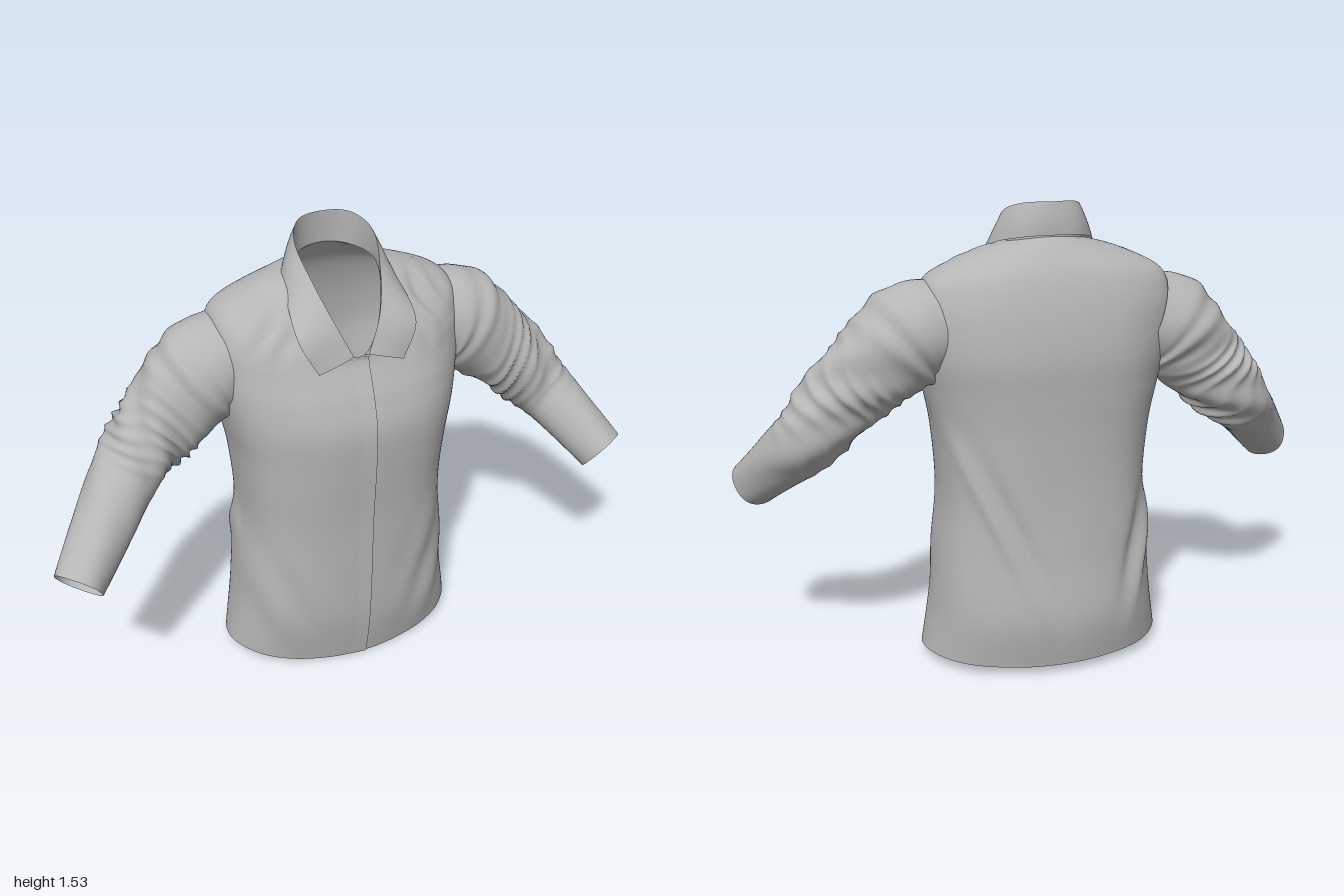
import * as THREE from 'three';

const cloth = new THREE.MeshStandardMaterial({ color: 0xb5b5b5, side: THREE.DoubleSide });
cloth.name = 'grey cloth';

// Smooth surface from fn(u, v) -> Vector3; closed joins the last column to the first,
// and quads starting at a point where hole(x, y) is true are left out
function surface(name, fn, nu, nv, closed, hole = () => false) {
  const cols = closed ? nu : nu + 1, pos = [], idx = [];
  for (let j = 0; j <= nv; j++)
    for (let i = 0; i < cols; i++) pos.push(...fn(i / nu, j / nv).toArray());
  for (let j = 0; j < nv; j++)
    for (let i = 0; i < nu; i++) {
      const a = j * cols + i, b = j * cols + (i + 1) % cols;
      if (!hole(pos[a * 3], pos[a * 3 + 1])) idx.push(a, b, b + cols, a, b + cols, a + cols);
    }
  const g = new THREE.BufferGeometry();
  g.setAttribute('position', new THREE.Float32BufferAttribute(pos, 3));
  g.setIndex(idx);
  g.computeVertexNormals();
  const mesh = new THREE.Mesh(g, cloth);
  mesh.name = name;
  return mesh;
}

// Catmull-Rom interpolation through rows of numbers
function sample(rows, t) {
  const f = t * (rows.length - 1), i = Math.min(Math.floor(f), rows.length - 2), w = f - i;
  const row = k => rows[Math.max(0, Math.min(rows.length - 1, k))];
  return rows[0].map((_, c) => {
    const [p, q, r, s] = [row(i - 1)[c], row(i)[c], row(i + 1)[c], row(i + 2)[c]];
    return q + 0.5 * w * (r - p + w * (2 * p - 5 * q + 4 * r - s + w * (3 * (q - r) + s - p)));
  });
}

const bump = (d, width) => Math.exp(-((d / width) ** 2));
const spow = (x, e) => Math.sign(x) * Math.abs(x) ** e;

// Torso rings: half width, front z, back z, side z, side y, front y, back y, squareness
const rings = [
  [0.410, 0.22, -0.267, 0.00, 0.042, 0.00, 0.03, 2.1],
  [0.385, 0.25, -0.285, 0.00, 0.20, 0.18, 0.19, 2.3],
  [0.365, 0.26, -0.263, 0.00, 0.40, 0.39, 0.40, 2.4],
  [0.350, 0.265, -0.248, 0.00, 0.60, 0.60, 0.60, 2.5],
  [0.360, 0.28, -0.247, 0.00, 0.80, 0.80, 0.80, 2.5],
  [0.390, 0.283, -0.252, -0.01, 0.94, 0.94, 0.94, 2.4],
  [0.410, 0.258, -0.256, -0.025, 1.05, 1.04, 1.05, 2.4],
  [0.418, 0.228, -0.246, -0.035, 1.15, 1.11, 1.15, 2.4],
  [0.412, 0.212, -0.225, -0.04, 1.235, 1.145, 1.24, 2.4],
  [0.380, 0.206, -0.195, -0.04, 1.31, 1.165, 1.32, 2.2],
  [0.250, 0.206, -0.155, -0.02, 1.373, 1.172, 1.38, 2.0],
  [0.130, 0.206, -0.115, 0.00, 1.405, 1.178, 1.425, 2.0],
];

function torsoPoint(u, v) {
  const [a, zf, zb, zc, ys, yf, yb, n] = sample(rings, v);
  const th = u * Math.PI * 2, s = Math.sin(th), c = Math.cos(th);
  const x = a * spow(s, 2 / n), depth = c > 0 ? zf - zc : zc - zb;
  const y = ys + ((c > 0 ? yf : yb) - ys) * c * c;
  const ax = Math.abs(x);
  let d = 0;
  if (c < 0) {
    // Long diagonal fold on the left of the back, short one on the right
    const line = x > 0 ? ax + 0.03 - 0.45 * y : ax - 0.22 - 0.25 * y;
    const span = x > 0 ? bump(y - 0.5, 0.26) : bump(y - 0.4, 0.16);
    d += 0.015 * span * (bump(line, 0.022) - bump(line + 0.05, 0.03));
  } else {
    // Pulls at the waist and puckers below the shoulder
    d += 0.006 * bump(y - 0.3, 0.2) * bump(ax - 0.26, 0.1) * Math.sin(40 * ax - 16 * y);
    d += 0.012 * bump(y - 1.28, 0.08) * bump(ax - 0.25, 0.07) * Math.sin(75 * ax + 22 * y + 2 * Math.sin(25 * y));
  }
  d += 0.003 * Math.sin(9 * y + 5 * th) * Math.sin(7 * y - 3 * th) * Math.min(1, 5 * ax);
  const shift = 0.01 * (1 - v);
  return new THREE.Vector3(x + d * s + shift, y, zc + depth * spow(c, 2 / n) + d * c);
}

// Sleeve stations: distance out, y, z, then radius up/down and radius front/back
const leftRows = [
  [0.345, 1.150, -0.035, 0.150, 0.140],
  [0.440, 1.122, -0.033, 0.166, 0.154],
  [0.555, 1.03, -0.025, 0.149, 0.132],
  [0.66, 0.935, -0.018, 0.129, 0.121],
  [0.77, 0.81, 0.00, 0.110, 0.110],
  [0.85, 0.715, 0.085, 0.096, 0.097],
  [0.931, 0.607, 0.20, 0.081, 0.083],
];
const rightRows = [
  [0.345, 1.142, -0.035, 0.150, 0.140],
  [0.435, 1.10, -0.033, 0.166, 0.152],
  [0.535, 0.995, -0.028, 0.148, 0.130],
  [0.62, 0.91, -0.025, 0.128, 0.121],
  [0.71, 0.82, 0.012, 0.112, 0.112],
  [0.815, 0.715, 0.115, 0.096, 0.097],
  [0.933, 0.592, 0.228, 0.081, 0.081],
];

function sleeve(name, rows, side) {
  const seed = side > 0 ? 0 : 1.7;
  const centre = t => new THREE.Vector3(...sample(rows, t));
  return surface(name, (u, v) => {
    const a = (side > 0 ? u : 1 - u) * Math.PI * 2;
    const [, , , rv, rz] = sample(rows, v);
    const t = centre(Math.min(1, v + 0.06)).sub(centre(Math.max(0, v - 0.06))).normalize();
    const front = new THREE.Vector3(0, 0, 1).addScaledVector(t, -t.z).normalize();
    const up = new THREE.Vector3().crossVectors(front, t).normalize();
    // Slanting, broken creases around the elbow and a pucker at the armhole
    const wave = 46 * v + 2.2 * Math.sin(a + seed) + 1.2 * Math.sin(2 * a + 13 * v + seed);
    const patch = 0.6 + 0.4 * Math.sin(2 * a + 17 * v + seed);
    let d = 0.012 * patch * bump(v - 0.5, 0.17) * (1 - 1.57 * Math.abs(Math.sin(wave)));
    d += 0.006 * bump(v - 0.5, 0.2) * Math.sin(5 * a + 25 * v + seed);
    d += 0.007 * bump(v - 0.2, 0.06) * Math.sin(2 * a + 60 * v + seed);
    d += 0.002 * Math.sin(4 * a + 14 * v);
    const p = centre(v)
      .addScaledVector(up, (rv + d) * Math.sin(a))
      .addScaledVector(front, (rz + d) * Math.cos(a));
    p.x *= side;
    return p;
  }, 48, 110, true);
}

// Curve running from the wearer's left front, round the neck, to the right front
function neckCurve(half) {
  const left = half.map(p => new THREE.Vector3(...p));
  const right = left.slice(0, -1).reverse().map(p => new THREE.Vector3(-p.x, p.y, p.z));
  return new THREE.CatmullRomCurve3([...left, ...right]);
}

export function createModel() {
  const shirt = new THREE.Group();
  shirt.name = 'shirt';
  const armhole = (x, y) => Math.abs(x) > 0.39 && y > 1.05 && y < 1.24;
  shirt.add(surface('torso', torsoPoint, 128, 110, true, armhole));
  shirt.add(sleeve('leftSleeve', leftRows, 1), sleeve('rightSleeve', rightRows, -1));

  // Button placket: thin overlapping strip down the front, its edge left of centre
  shirt.add(surface('placket', (u, v) => {
    const p = torsoPoint(0, v * 0.995);
    p.x = -0.03 + 0.06 * u;
    p.z += 0.006 * u - 0.001;
    return p;
  }, 6, 60, false));

  // Collar: stand rises from the neck to the fold, leaf turns down outside it
  const fold = neckCurve([
    [0.025, 1.19, 0.222], [0.075, 1.30, 0.184], [0.112, 1.405, 0.10],
    [0.128, 1.495, 0.0], [0.085, 1.528, -0.08], [0, 1.532, -0.108],
  ]);
  const edge = neckCurve([
    [0.140, 1.152, 0.225], [0.192, 1.255, 0.198], [0.187, 1.34, 0.085],
    [0.163, 1.40, -0.025], [0.095, 1.425, -0.105], [0, 1.43, -0.122],
  ]);
  shirt.add(surface('collarStand', (u, v) =>
    torsoPoint(0.02 + 0.96 * u, 1).lerp(fold.getPoint(u), v), 60, 6, false));
  shirt.add(surface('collarLeaf', (u, v) => {
    const p = edge.getPoint(u).lerp(fold.getPoint(u), v);
    const puff = 0.005 * Math.sin(v * Math.PI);
    p.x += puff * THREE.MathUtils.clamp(p.x * 10, -1, 1);
    p.z += puff * THREE.MathUtils.clamp(p.z * 8, -1, 1);
    return p;
  }, 60, 8, false));
  return shirt;
}
